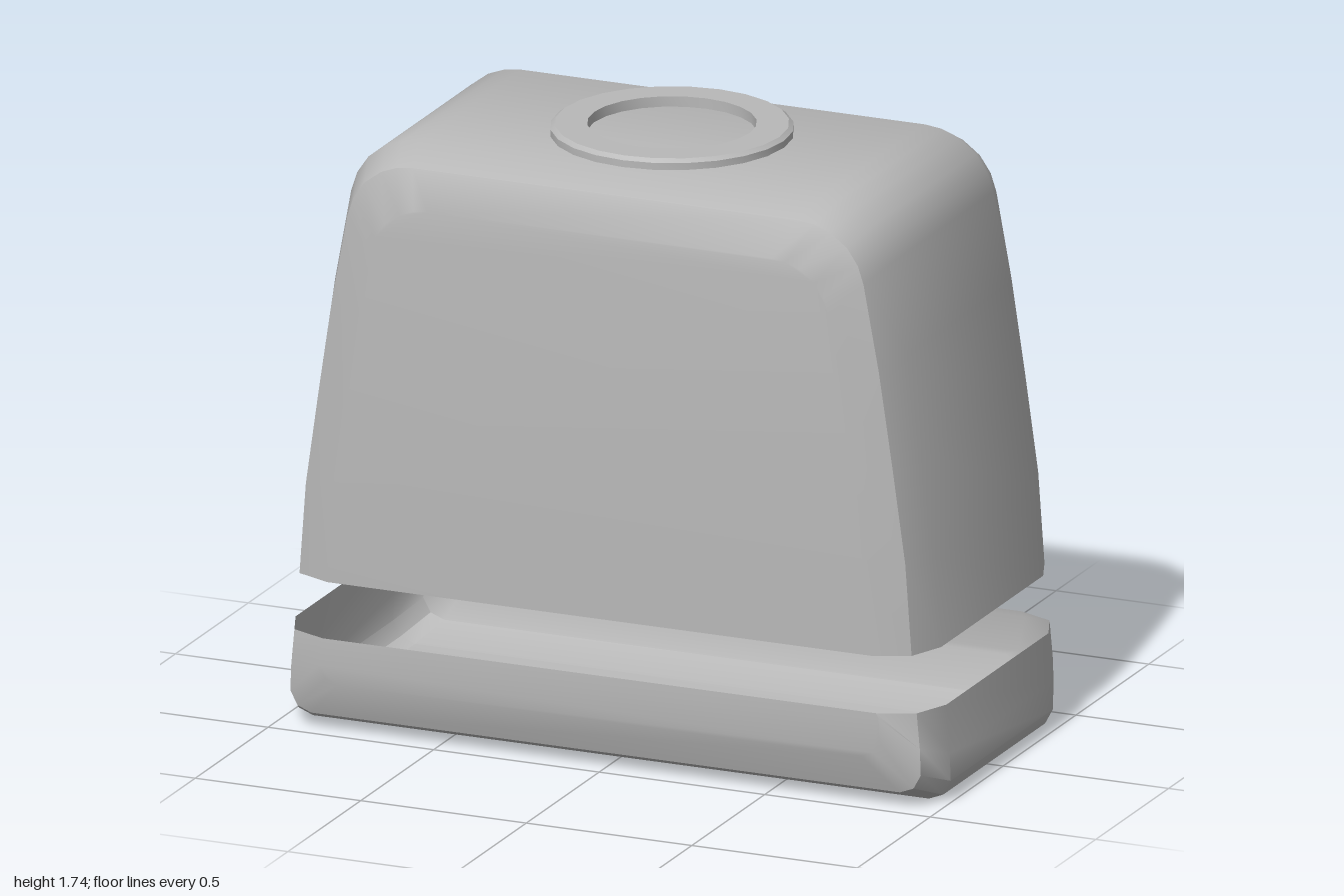
import * as THREE from 'three';
import { toCreasedNormals } from 'three/addons/utils/BufferGeometryUtils.js';

const MID = 0.855; // half of the body height
// bevelled depth sections: [z, inset]
const SECTIONS = [[-0.5, 0.15], [-0.456, 0.044], [-0.35, 0], [0.35, 0], [0.456, 0.044], [0.5, 0.15]];

const mirrored = (pts) => pts.map(([x, y]) => [-x, y]).reverse();

// Shrinks the profile towards the middle, keeping the cut line level
const inset = (profile, d, cutY) => profile.map(([x, y]) =>
  new THREE.Vector2(x * (1 - d), y === cutY ? y : MID + (y - MID) * (1 - d / MID)));

// Thin shell through all sections, closed by a front and a back face
function shellGeometry(profile, cutY, notch = []) {
  const pos = [];
  const rings = SECTIONS.map(([z, d]) => inset(profile, d, cutY).map((p) => [p.x, p.y, z]));
  for (let i = 0; i < rings.length - 1; i++) {
    for (let j = 0; j < profile.length - 1; j++) {
      const a = rings[i][j], b = rings[i][j + 1], c = rings[i + 1][j + 1], d = rings[i + 1][j];
      pos.push(...a, ...b, ...c, ...a, ...c, ...d);
    }
  }
  const cap = (z, d, extra, flip) => {
    const pts = [...inset(profile, d, cutY), ...extra.map(([x, y]) => new THREE.Vector2(x, y))];
    for (const f of THREE.ShapeUtils.triangulateShape(pts, [])) {
      const order = flip ? [f[0], f[2], f[1]] : f;
      for (const k of order) pos.push(pts[k].x, pts[k].y, z);
    }
  };
  cap(0.5, 0.15, [], false);
  cap(-0.5, 0.15, notch, true);
  const geo = new THREE.BufferGeometry();
  geo.setAttribute('position', new THREE.Float32BufferAttribute(pos, 3));
  return toCreasedNormals(geo, 0.6);
}

export function createModel() {
  const group = new THREE.Group();
  const grey = new THREE.MeshStandardMaterial({ color: 0xb8b8b8, side: THREE.DoubleSide });
  grey.name = 'light grey';
  const add = (name, geo) => {
    const mesh = new THREE.Mesh(geo, grey);
    mesh.name = name;
    group.add(mesh);
    return mesh;
  };

  // upper cover: tapered sides and rounded shoulders, open below
  const side = [[0.967, 0.445], [0.947, 0.7], [0.905, 1.0], [0.863, 1.28], [0.815, 1.54],
    [0.797, 1.595], [0.763, 1.645], [0.71, 1.685], [0.66, 1.704], [0.61, 1.71]];
  // cross-shaped opening in the back, running down to the lower edge
  const halfCross = [[0.122, 0.445], [0.122, 0.93], [0.46, 0.93], [0.46, 1.15], [0.122, 1.15], [0.122, 1.42]];
  const cross = [...mirrored(halfCross).reverse(), ...mirrored(mirrored(halfCross))];
  // the left half runs upward, the right half back down
  cross.splice(halfCross.length, halfCross.length, ...halfCross.slice().reverse());
  add('upperCover', shellGeometry([...side, ...mirrored(side)], 0.445, cross));

  // base tray, open above
  const tray = [[0.93, 0], [0.973, 0.017], [0.996, 0.06], [0.993, 0.14], [0.983, 0.28]];
  add('baseTray', shellGeometry([...mirrored(tray), ...tray], 0.28));

  // raised ring on the top
  const ring = [[0.235, 1.705], [0.235, 1.74], [0.325, 1.74], [0.338, 1.73], [0.338, 1.705]]
    .map(([x, y]) => new THREE.Vector2(x, y)).reverse();
  add('topRing', toCreasedNormals(new THREE.LatheGeometry(ring, 24), 0.6));

  return group;
}
